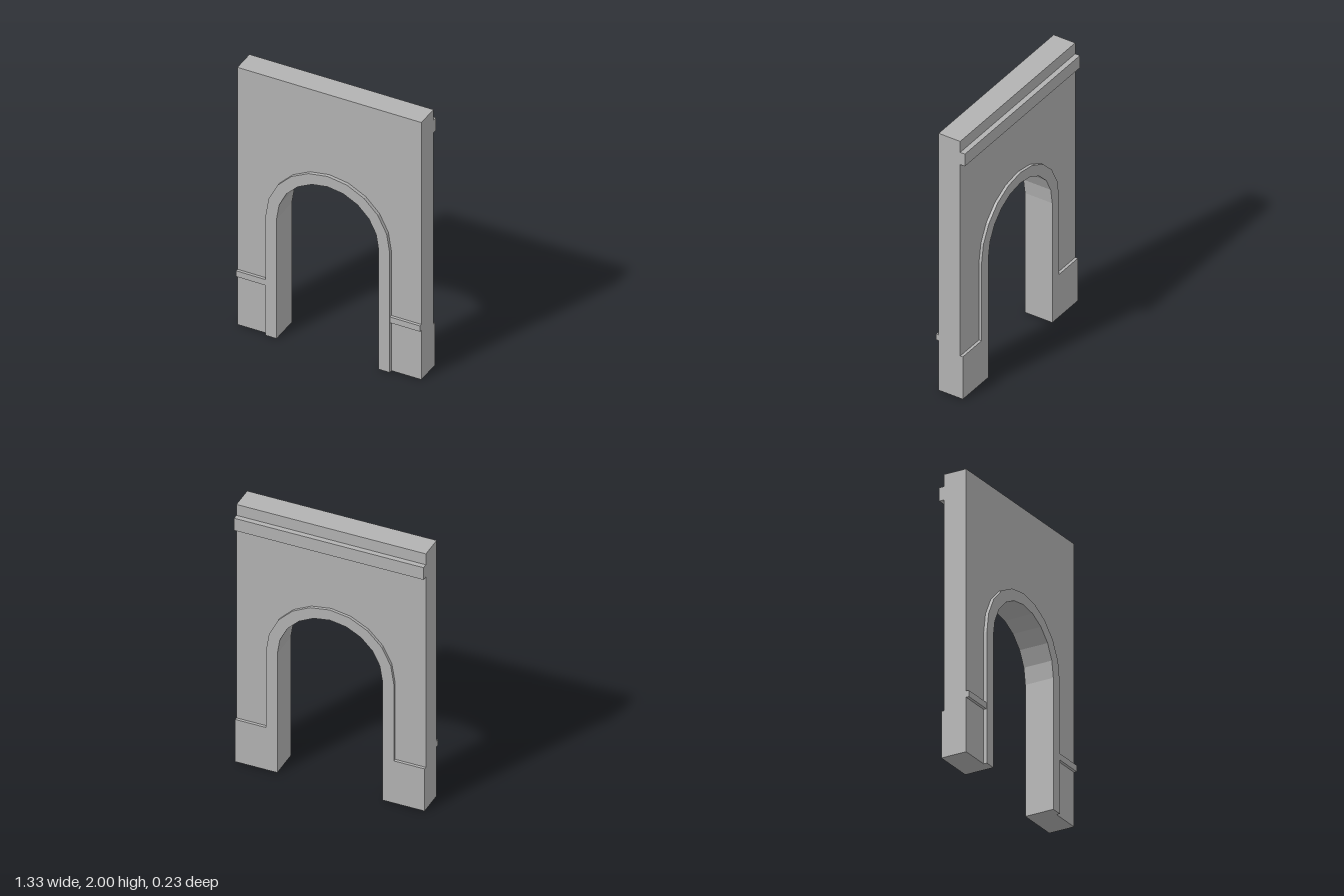
import * as THREE from 'three';

const HALF = 0.667, SPRING = 0.93, INNER = 0.37, OUTER = 0.45, STEPS = 10;
const FRONT = 0.089, BACK = -0.077;

// Arch outline from the right foot, over the crown, to the left foot
function archLine(radius, footY) {
  const points = [[radius, footY]];
  for (let i = 0; i <= STEPS; i++) {
    const a = (i / STEPS) * Math.PI;
    points.push([radius * Math.cos(a), SPRING + radius * Math.sin(a)]);
  }
  points.push([-radius, footY]);
  return points;
}

// Extrudes an outer outline with the doorway cut from below, between two depths
function archedSlab(name, outline, z0, z1, material) {
  const opening = archLine(INNER, 0).reverse();
  const shape = new THREE.Shape([...outline, ...opening].map(([x, y]) => new THREE.Vector2(x, y)));
  const geometry = new THREE.ExtrudeGeometry(shape, { depth: z1 - z0, bevelEnabled: false });
  geometry.translate(0, 0, z0);
  const mesh = new THREE.Mesh(geometry, material);
  mesh.name = name;
  return mesh;
}

function block(name, x0, x1, y0, y1, z0, z1, material) {
  const mesh = new THREE.Mesh(new THREE.BoxGeometry(x1 - x0, y1 - y0, z1 - z0), material);
  mesh.position.set((x0 + x1) / 2, (y0 + y1) / 2, (z0 + z1) / 2);
  mesh.name = name;
  return mesh;
}

export function createModel() {
  const stone = new THREE.MeshStandardMaterial({ color: 0xb2b2b2, flatShading: true });
  stone.name = 'stone grey';
  const group = new THREE.Group();
  group.name = 'archwayWall';

  // Main wall with the doorway
  const wallLine = [[HALF, 0], [HALF, 2], [-HALF, 2], [-HALF, 0]];
  group.add(archedSlab('wall', wallLine, BACK, FRONT, stone));

  // Raised surround on the front
  group.add(archedSlab('frontArchTrim', archLine(OUTER, 0), FRONT, 0.113, stone));

  // Raised surround on the back, joined to the plinths
  const plinth = 0.33;
  const backLine = [[HALF, 0], [HALF, plinth], ...archLine(OUTER, plinth), [-HALF, plinth], [-HALF, 0]];
  group.add(archedSlab('backArchTrimAndPlinth', backLine, -0.097, BACK, stone));

  // Narrow rails on the front, either side of the surround
  group.add(block('leftRail', OUTER, HALF, 0.385, 0.43, FRONT, 0.109, stone));
  group.add(block('rightRail', -HALF, -OUTER, 0.385, 0.43, FRONT, 0.109, stone));

  // Cornice band across the top of the back
  group.add(block('backCornice', -HALF, HALF, 1.82, 1.915, -0.113, BACK, stone));

  return group;
}
